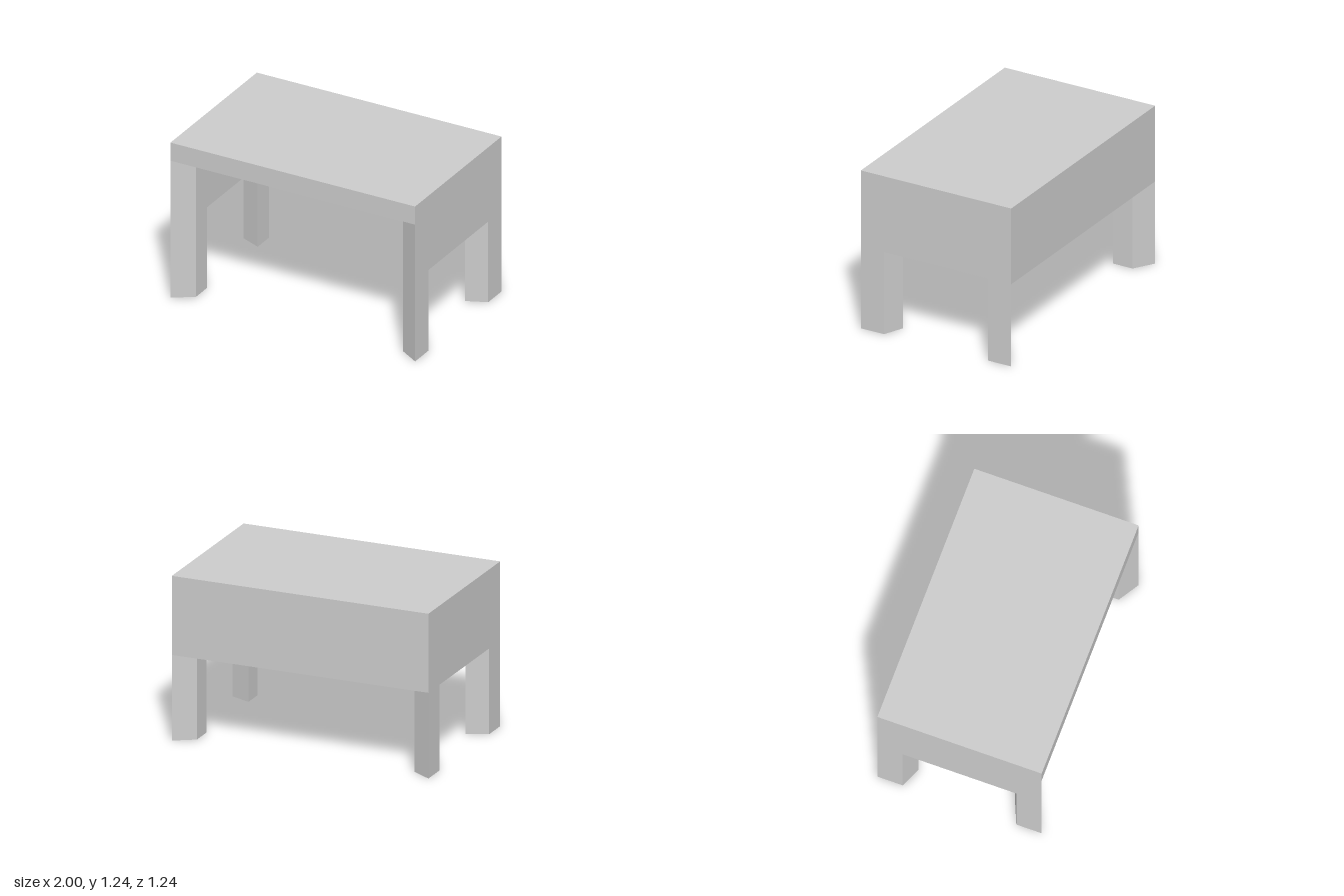
import * as THREE from 'three';

const material = new THREE.MeshStandardMaterial({ color: 0xcccccc, flatShading: true });

// Upright prism from a plan outline of [x, z] points
function prism(name, outline, bottom, top) {
  const shape = new THREE.Shape(outline.map(([x, z]) => new THREE.Vector2(x, -z)));
  const geometry = new THREE.ExtrudeGeometry(shape, { depth: top - bottom, bevelEnabled: false });
  geometry.rotateX(-Math.PI / 2).translate(0, bottom, 0);
  const mesh = new THREE.Mesh(geometry, material);
  mesh.name = name;
  return mesh;
}

export function createModel() {
  const desk = new THREE.Group();
  desk.name = 'desk';

  const halfX = 1, halfZ = 0.622;      // outer plan
  const innerX = 0.847, innerZ = 0.527; // inner plan
  const apronBottom = 0.645, slabBottom = 1.095, height = 1.24;

  // Table top
  const slab = new THREE.Mesh(
    new THREE.BoxGeometry(2 * halfX, height - slabBottom, 2 * halfZ), material);
  slab.name = 'tableTop';
  slab.position.y = (height + slabBottom) / 2;
  desk.add(slab);

  // Side and back panels, open at the front, with mitred front ends
  desk.add(prism('sideAndBackPanels', [
    [halfX, halfZ], [halfX, -halfZ], [-halfX, -halfZ], [-halfX, halfZ],
    [-innerX, innerZ], [-innerX, -innerZ], [innerX, -innerZ], [innerX, innerZ],
  ], apronBottom, slabBottom));

  // Four legs with slanted front and back faces
  for (const sx of [1, -1]) {
    for (const sz of [1, -1]) {
      const name = (sz > 0 ? 'front' : 'back') + (sx > 0 ? 'Left' : 'Right') + 'Leg';
      const outline = [
        [halfX, halfZ], [halfX, 0.43], [innerX, 0.365], [innerX, innerZ],
      ].map(([x, z]) => [sx * x, sz * z]);
      desk.add(prism(name, outline, 0, apronBottom));
    }
  }
  return desk;
}
